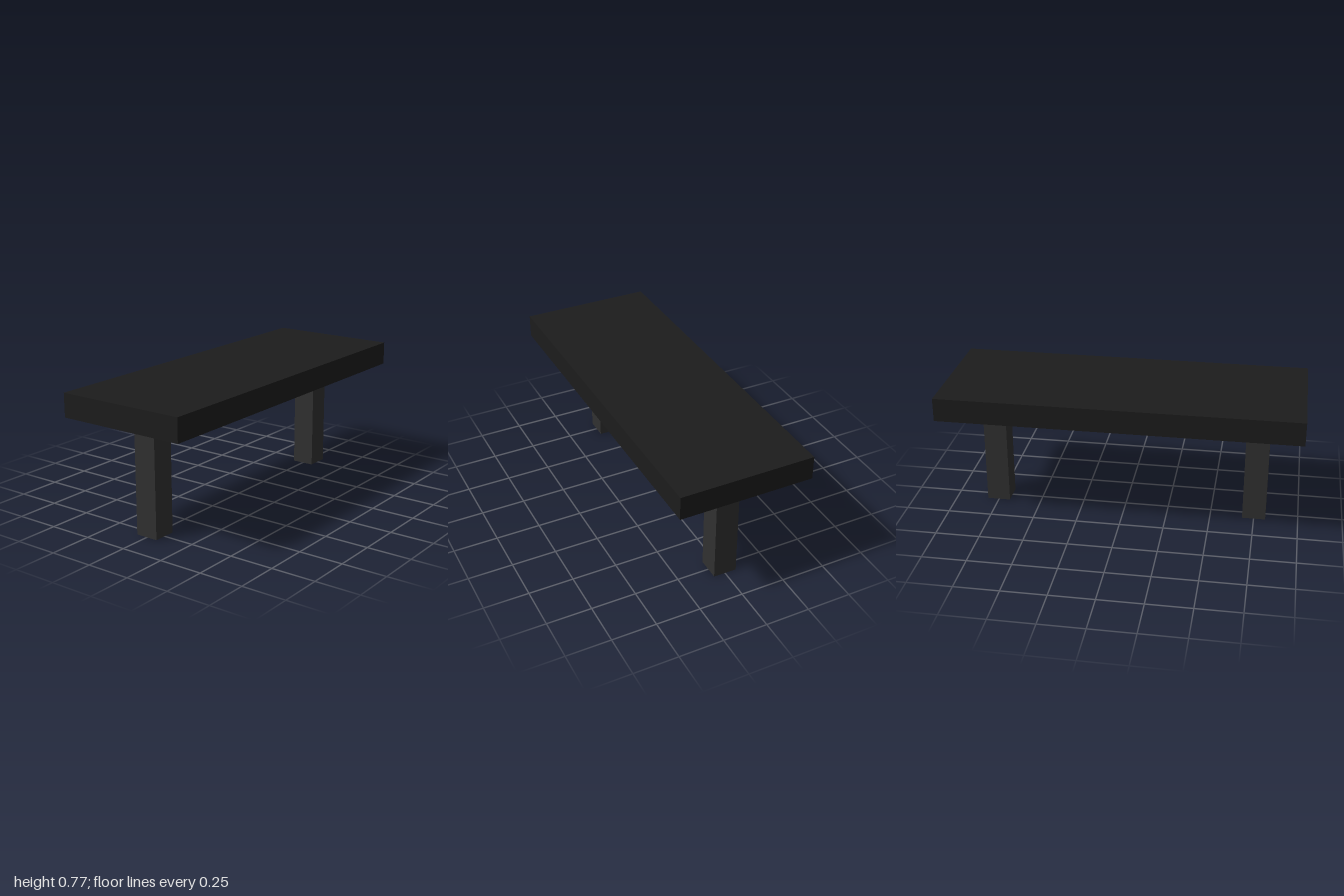
import * as THREE from 'three';

const SEAT_BOTTOM = 0.634, SEAT_TOP = 0.766, DEPTH = 0.748;
const LEG = 0.132, LEG_X = 0.75;

function box(name, w, h, d, x, y, material) {
  const mesh = new THREE.Mesh(new THREE.BoxGeometry(w, h, d), material);
  mesh.name = name;
  mesh.position.set(x, y, 0);
  return mesh;
}

export function createModel() {
  const bench = new THREE.Group();
  bench.name = 'bench';
  const seatMaterial = new THREE.MeshStandardMaterial({ color: 0x1c1c1c });
  const legMaterial = new THREE.MeshStandardMaterial({ color: 0x303030 });

  // Thick slab seat
  bench.add(box('seat', 2, SEAT_TOP - SEAT_BOTTOM, DEPTH, 0, (SEAT_TOP + SEAT_BOTTOM) / 2, seatMaterial));

  // One square post under each end
  for (const [name, side] of [['leftLeg', 1], ['rightLeg', -1]]) {
    bench.add(box(name, LEG, SEAT_BOTTOM, LEG, side * LEG_X, SEAT_BOTTOM / 2, legMaterial));
  }
  return bench;
}
